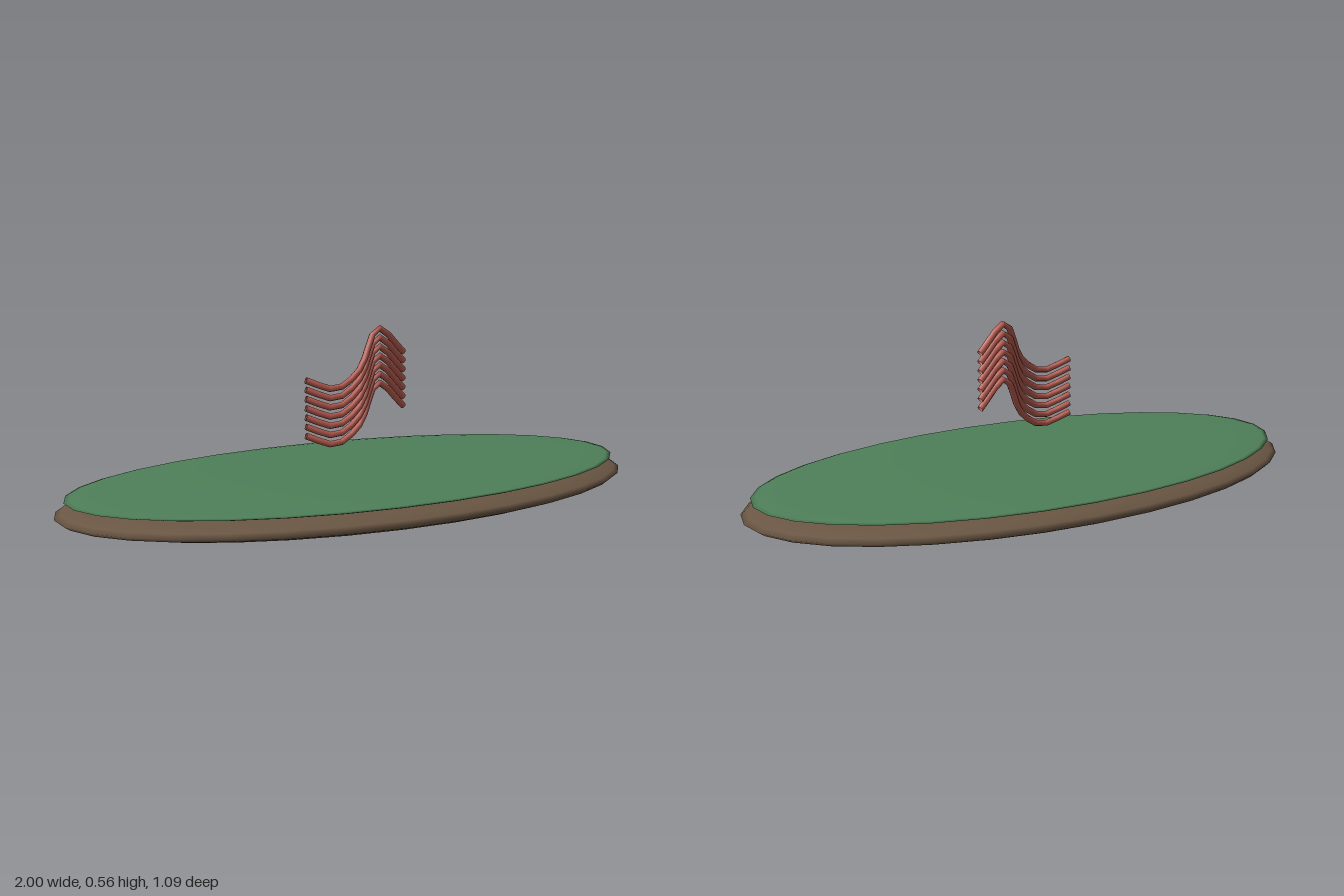
import * as THREE from 'three';

const soil = new THREE.MeshStandardMaterial({ color: 0x6b5744 });
soil.name = 'soil brown';
const grass = new THREE.MeshStandardMaterial({ color: 0x4f8059 });
grass.name = 'grass green';
const ribbon = new THREE.MeshStandardMaterial({ color: 0xb85c50, side: THREE.DoubleSide });
ribbon.name = 'ribbon red';

// Flattened ellipsoid disc, shaped in the geometry so normals stay correct
function disc(name, material, rx, ry, rz, y) {
  const geometry = new THREE.SphereGeometry(1, 32, 16).scale(rx, ry, rz);
  const mesh = new THREE.Mesh(geometry, material);
  mesh.name = name;
  mesh.position.y = y;
  return mesh;
}

export function createModel() {
  const group = new THREE.Group();
  group.name = 'wavy strands over an oval island';

  // Oval ground and its thin grass cap
  group.add(disc('ground', soil, 1, 0.058, 0.545, 0.058));
  group.add(disc('grassCap', grass, 0.97, 0.018, 0.52, 0.104));

  // Seven identical wavy strands, stacked vertically
  const path = new THREE.CatmullRomCurve3([
    new THREE.Vector3(-0.18, 0.238, 0),
    new THREE.Vector3(-0.09, 0.208, 0.03),
    new THREE.Vector3(0, 0.258, 0.027),
    new THREE.Vector3(0.09, 0.379, 0),
    new THREE.Vector3(0.19, 0.298, 0),
  ]);
  const strandGeometry = new THREE.TubeGeometry(path, 12, 0.01, 8, false);
  const strands = new THREE.Group();
  strands.name = 'wavyStrands';
  for (let i = 0; i < 7; i++) {
    const strand = new THREE.Mesh(strandGeometry, ribbon);
    strand.name = `strand${i + 1}`;
    strand.position.y = i * 0.0285;
    strands.add(strand);
  }
  group.add(strands);
  return group;
}
